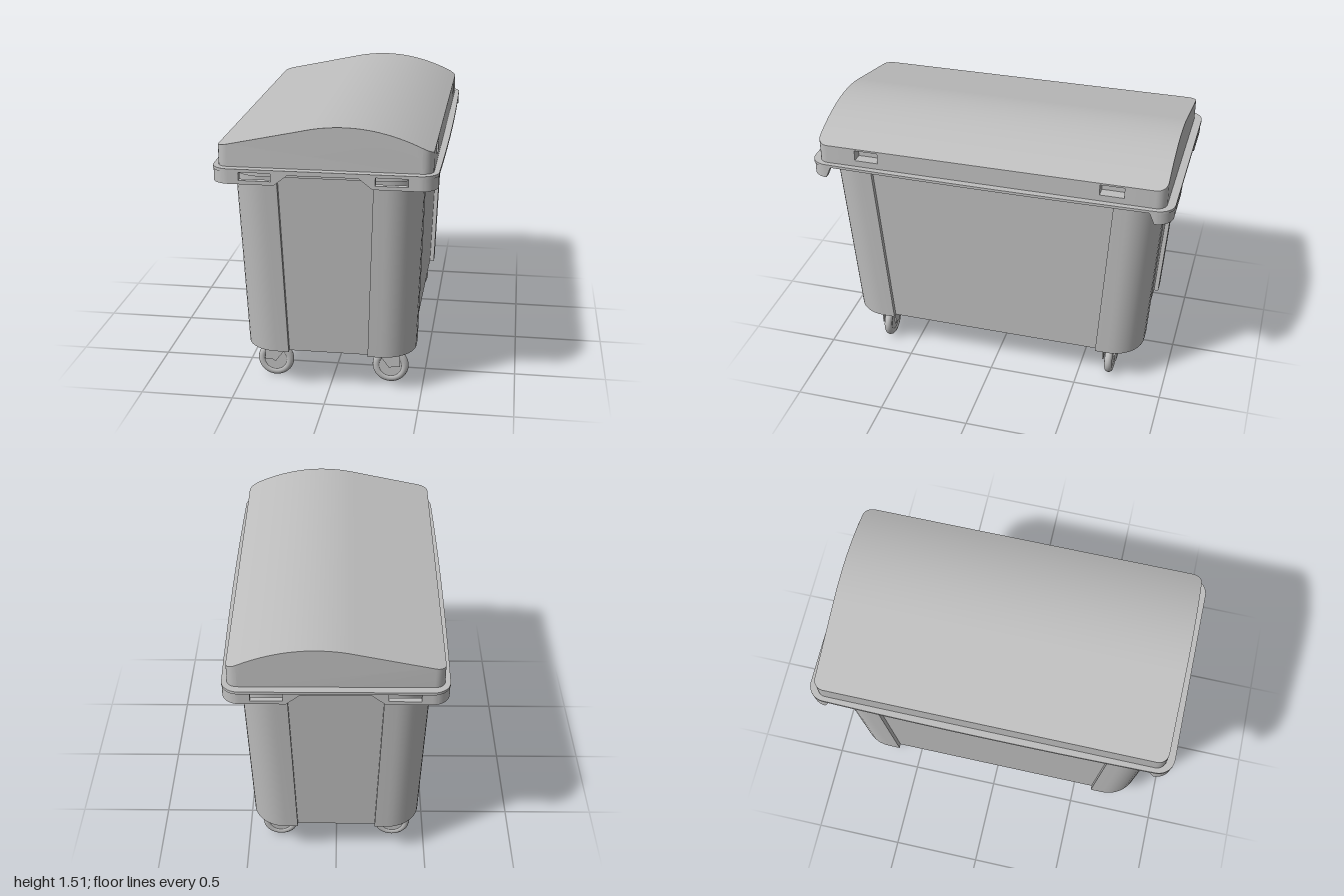
import * as THREE from 'three';
import { toCreasedNormals } from 'three/addons/utils/BufferGeometryUtils.js';

const grey = new THREE.MeshStandardMaterial({ color: 0xbebebe });
grey.name = 'grey plastic';

function add(parent, name, geometry, x = 0, y = 0, z = 0) {
  const mesh = new THREE.Mesh(geometry, grey);
  mesh.name = name;
  mesh.position.set(x, y, z);
  parent.add(mesh);
  return mesh;
}

const polygon = (points) => new THREE.Shape(points.map(([x, y]) => new THREE.Vector2(x, y)));

const extrude = (shape, depth) =>
  new THREE.ExtrudeGeometry(shape, { depth, bevelEnabled: false, curveSegments: 10 });

// Extrudes a plan outline upwards
const slab = (shape, height) => toCreasedNormals(extrude(shape, height).rotateX(-Math.PI / 2), 0.5);

// Rounded rectangle plan; the long sides can bow outwards
function roundedPlan(x, z, r, bow = 0) {
  const s = new THREE.Shape();
  s.moveTo(x, -z + r);
  s.quadraticCurveTo(x + 2 * bow, 0, x, z - r);
  s.absarc(x - r, z - r, r, 0, Math.PI / 2);
  s.absarc(-x + r, z - r, r, Math.PI / 2, Math.PI);
  s.quadraticCurveTo(-x - 2 * bow, 0, -x, -z + r);
  s.absarc(-x + r, -z + r, r, Math.PI, Math.PI * 1.5);
  s.absarc(x - r, -z + r, r, Math.PI * 1.5, Math.PI * 2);
  return s;
}

// Tapered tub: four rounded corner pillars with recessed panels between them
function tubGeometry() {
  const X = 0.497, Z = 0.932, px = 0.25, pz = 0.68, r = 0.18, recess = 0.025;
  const bottom = 0.23, top = 1.28;
  const points = [];
  for (let k = 0; k < 4; k++) {
    const sx = k === 0 || k === 3 ? 1 : -1, sz = k < 2 ? 1 : -1;
    const corner = [[X - recess, pz], [X, pz]];
    for (let i = 0; i <= 10; i++) {
      const a = (i / 10) * Math.PI / 2;
      corner.push([X - r + r * Math.cos(a), Z - r + r * Math.sin(a)]);
    }
    corner.push([px, Z], [px, Z - recess]);
    if (k % 2) corner.reverse();
    points.push(...corner.map(([x, z]) => [x * sx, z * sz]));
  }
  const g = extrude(polygon(points), top - bottom).rotateX(-Math.PI / 2);
  const p = g.attributes.position;
  for (let i = 0; i < p.count; i++) {
    const t = 1 - p.getY(i) / (top - bottom);
    p.setX(i, p.getX(i) - Math.sign(p.getX(i)) * 0.036 * t);
    p.setZ(i, p.getZ(i) - Math.sign(p.getZ(i)) * 0.072 * t);
  }
  return toCreasedNormals(g.translate(0, bottom, 0), 0.5);
}

// Height of the domed lid across its width
function lidHeight(x) {
  if (x > 0.1) return 1.513 - 0.118 * ((x - 0.1) / 0.45) ** 2;
  if (x > -0.1) return 1.513 - 0.57 * (x - 0.1) ** 2;
  return 1.49 + (x + 0.1) * 0.212;
}

// Lid lofted along z, with two openings left in the +x wall
function lidGeometry() {
  const r = 0.055, W = 0.55, Z = 0.957, N = 32;
  const half = [[0.61, W], [0.74, W]];
  for (let i = 0; i <= 6; i++) {
    const a = (i / 6) * Math.PI / 2;
    half.push([Z - r + r * Math.sin(a), W - r + r * Math.cos(a)]);
  }
  const stations = [...half.map(([z, w]) => [-z, w]).reverse(), ...half];
  const rings = stations.map(([z, w]) => {
    const ring = [[w, 1.285, z], [w, 1.325, z], [w, 1.385, z]];
    for (let i = 0; i <= N; i++) {
      const x = w - (2 * w * i) / N;
      ring.push([x, lidHeight(x), z]);
    }
    ring.push([-w, 1.285, z]);
    return ring;
  });
  const out = [];
  const tri = (a, b, c) => out.push(...a, ...b, ...c);
  for (let k = 0; k < rings.length - 1; k++) {
    const A = rings[k], B = rings[k + 1];
    const middle = Math.abs(stations[k][0] + stations[k + 1][0]) / 2;
    for (let j = 0; j < A.length - 1; j++) {
      if (j === 1 && middle > 0.61 && middle < 0.74) continue;
      tri(A[j], A[j + 1], B[j]);
      tri(A[j + 1], B[j + 1], B[j]);
    }
  }
  const first = rings[0], last = rings[rings.length - 1];
  for (let j = 1; j < first.length - 1; j++) {
    tri(last[0], last[j], last[j + 1]);
    tri(first[0], first[j + 1], first[j]);
  }
  const g = new THREE.BufferGeometry();
  g.setAttribute('position', new THREE.Float32BufferAttribute(out, 3));
  return toCreasedNormals(g, 0.5);
}

// Inside faces of a box, open towards +x
function pocketGeometry(w, h, d) {
  const box = new THREE.BoxGeometry(w, h, d).scale(-1, 1, 1);
  const index = Array.from(box.index.array);
  index.splice(6, 6);
  box.setIndex(index);
  box.computeVertexNormals();
  return box;
}

// Hanging rim skirt with grip slots in both ends
function addSkirt(parent) {
  const X = 0.575, Z = 0.995, r = 0.09, t = 0.03, low = 1.21, high = 1.28;
  const cx = X - r, cz = Z - r;
  const end = polygon([[-cx, low], [-0.25, low], [-0.18, 1.265], [0.18, 1.265],
    [0.25, low], [cx, low], [cx, high], [-cx, high]]);
  for (const s of [-1, 1]) {
    end.holes.push(polygon([[s * 0.265, 1.23], [s * 0.43, 1.23], [s * 0.43, 1.272], [s * 0.265, 1.272]]));
  }
  add(parent, 'frontSkirt', extrude(end, t), 0, 0, Z - t);
  add(parent, 'backSkirt', extrude(end, t), 0, 0, -Z);

  for (let k = 0; k < 4; k++) {
    const a = (k * Math.PI) / 2;
    const sx = k === 0 || k === 3 ? 1 : -1, sz = k < 2 ? -1 : 1;
    const arc = new THREE.Shape();
    arc.absarc(0, 0, r, a, a + Math.PI / 2, false);
    arc.absarc(0, 0, r - t, a + Math.PI / 2, a, true);
    add(parent, 'skirtCorner', slab(arc, high - low), sx * cx, low, sz * cz);
    // Short ramp where the skirt ends on the long side
    const ramp = polygon([[sz * cz, low], [sz * cz, high], [sz * (cz - 0.03), high]]);
    const g = extrude(ramp, t).rotateY(-Math.PI / 2);
    add(parent, 'skirtRamp', g, sx > 0 ? X : -X + t);
  }
}

// Caster: side = +1 or -1 mirrors the bracket in x
function makeCaster(side) {
  const caster = new THREE.Group();
  caster.name = 'caster';
  const tyre = new THREE.TorusGeometry(0.077, 0.023, 12, 36);
  add(caster, 'tyre', tyre, 0, 0.105, 0);
  const hub = new THREE.CylinderGeometry(0.068, 0.068, 0.034, 32).rotateX(Math.PI / 2);
  add(caster, 'hub', hub, 0, 0.105, 0);
  const axle = new THREE.CylinderGeometry(0.012, 0.012, 0.08, 12).rotateX(Math.PI / 2);
  add(caster, 'axle', axle, 0, 0.115, 0);
  const fork = polygon([[0.055, 0.235], [0.055, 0.11], [-0.01, 0.11], [-0.085, 0.21], [-0.085, 0.235]]
    .map(([x, y]) => [x * side, y]));
  for (const z of [-0.041, 0.033]) add(caster, 'forkPlate', extrude(fork, 0.008), 0, 0, z);
  add(caster, 'mountPlate', new THREE.BoxGeometry(0.205, 0.022, 0.082), -side * 0.0475, 0.222, 0);
  return caster;
}

export function createModel() {
  const bin = new THREE.Group();
  bin.name = 'wheeledContainer';

  add(bin, 'tub', tubGeometry());
  add(bin, 'collar', slab(roundedPlan(0.503, 0.938, 0.18), 0.045), 0, 1.237, 0);

  const rim = new THREE.Group();
  rim.name = 'rim';
  add(rim, 'flange', slab(roundedPlan(0.577, 1, 0.092, 0.01), 0.015), 0, 1.275, 0);
  addSkirt(rim);
  bin.add(rim);

  const lid = new THREE.Group();
  lid.name = 'lid';
  add(lid, 'lidShell', lidGeometry());
  for (const z of [-0.675, 0.675]) {
    add(lid, 'gripPocket', pocketGeometry(0.06, 0.06, 0.13), 0.52, 1.355, z);
  }
  bin.add(lid);

  for (const side of [-1, 1]) {
    for (const z of [-0.677, 0.677]) {
      const caster = makeCaster(side);
      caster.position.set(side * 0.32, 0, z);
      bin.add(caster);
    }
  }
  return bin;
}
